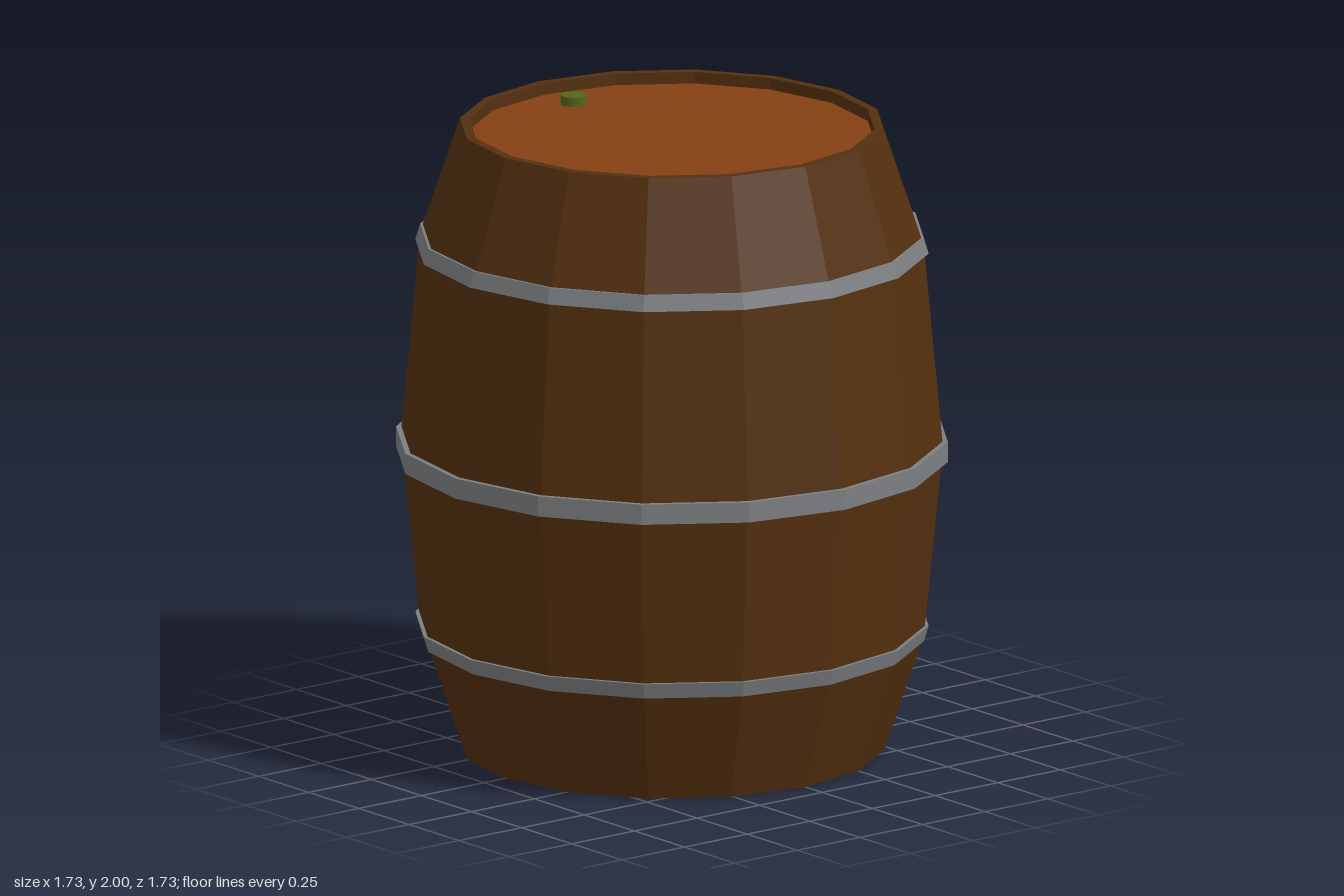
import * as THREE from 'three';

const SIDES = 16;
const paint = (color) => new THREE.MeshStandardMaterial({ color, flatShading: true });

// Faceted ring turned from a profile: outside going up, then inside going down
function turned(name, profile, material) {
  const points = profile.map(([r, y]) => new THREE.Vector2(r, y));
  const mesh = new THREE.Mesh(new THREE.LatheGeometry(points, SIDES), material);
  mesh.name = name;
  return mesh;
}

function disc(name, radius, height, y, material) {
  const mesh = new THREE.Mesh(new THREE.CylinderGeometry(radius, radius, height, SIDES), material);
  mesh.name = name;
  mesh.position.y = y;
  return mesh;
}

export function createModel() {
  const barrel = new THREE.Group();
  barrel.name = 'barrel';
  const wood = paint(0x54300f);
  const lidWood = paint(0x853f12);
  const iron = paint(0x7c7f82);
  const cork = paint(0x56641a);

  // Bulging staves with a thin rim at both ends
  barrel.add(turned('staves', [
    [0.665, 0], [0.79, 0.375], [0.85, 0.98], [0.79, 1.63], [0.665, 2],
    [0.635, 2], [0.635, 1.95], [0.635, 0.05], [0.635, 0], [0.665, 0],
  ], wood));

  // Recessed heads
  barrel.add(disc('topHead', 0.636, 0.04, 1.943, lidWood));
  barrel.add(disc('bottomHead', 0.636, 0.04, 0.057, lidWood));

  // Hoops: [name, bottom y, top y, bottom radius, top radius]
  const hoops = [
    ['lowerHoop', 0.355, 0.405, 0.79, 0.805],
    ['middleHoop', 0.935, 1.0, 0.865, 0.865],
    ['upperHoop', 1.605, 1.655, 0.805, 0.79],
  ];
  for (const [name, y0, y1, r0, r1] of hoops) {
    const inner = Math.min(r0, r1) - 0.04;
    barrel.add(turned(name, [[inner, y0], [r0, y0], [r1, y1], [inner, y1]], iron));
  }

  // Bung near the back of the top head
  const bung = disc('bung', 0.042, 0.04, 1.973, cork);
  bung.position.z = -0.49;
  barrel.add(bung);

  return barrel;
}
